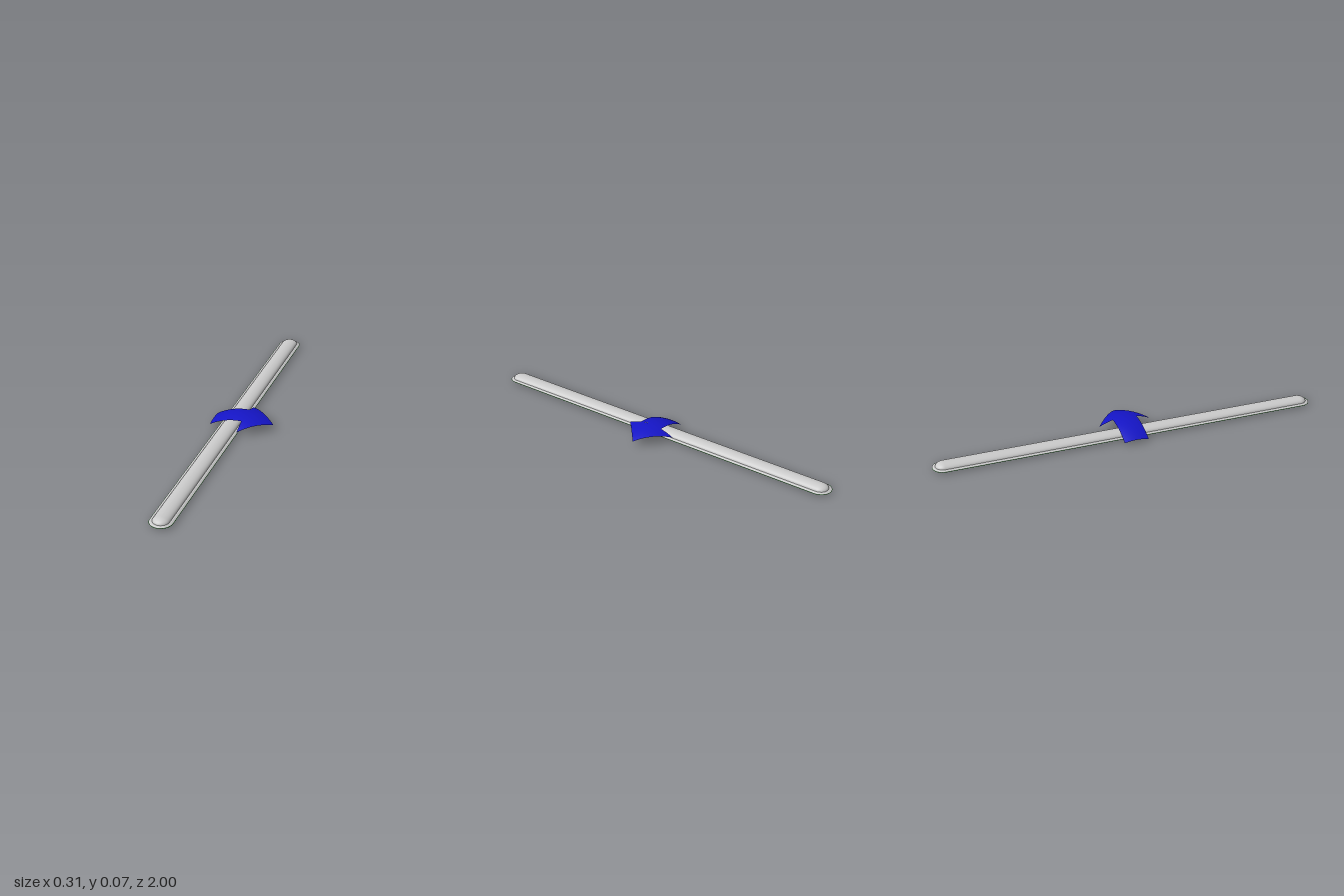
import * as THREE from 'three';

const BAR_X = -0.054;
const STRAIGHT = 0.944; // half length of the straight run

// Stadium-shaped solid: each profile point is [radius, y], listed bottom to top.
function stadiumLoft(profile, smooth) {
  const arc = 16, n = 2 * (arc + 1);
  const pos = [], idx = [];
  const addRing = ([r, y]) => {
    for (let i = 0; i < n; i++) {
      const end = i <= arc ? 1 : -1;
      const a = Math.PI * (i <= arc ? i : i - 1) / arc;
      pos.push(r * Math.cos(a), y, r * Math.sin(a) + end * STRAIGHT);
    }
    return pos.length / 3 - n;
  };
  const join = (a, b) => {
    for (let i = 0; i < n; i++) {
      const j = (i + 1) % n;
      idx.push(a + i, b + i, a + j, b + i, b + j, a + j);
    }
  };
  let last = null;
  profile.forEach((p, k) => {
    if (k === 0) { last = addRing(p); return; }
    // separate rings per band keep the steps crisp; the dome shares its rings
    if (!smooth) last = addRing(profile[k - 1]);
    const next = addRing(p);
    join(last, next);
    last = next;
  });
  const geo = new THREE.BufferGeometry();
  geo.setAttribute('position', new THREE.Float32BufferAttribute(pos, 3));
  geo.setIndex(idx);
  geo.computeVertexNormals();
  return geo;
}

// Height of the arched arrow sheet, curved both ways
const archY = (x, z) => 0.067 - (x < 0 ? 1.9 : 1.42) * x * x - 1.75 * z * z;

// Arched panel between x0 and x1 whose half width runs from w0 to w1
function archedPanel(x0, x1, w0, w1) {
  const geo = new THREE.PlaneGeometry(1, 1, 16, 16);
  const p = geo.attributes.position;
  for (let i = 0; i < p.count; i++) {
    const t = p.getX(i) + 0.5;
    const x = x0 + (x1 - x0) * t;
    const z = -2 * p.getY(i) * (w0 + (w1 - w0) * t);
    p.setXYZ(i, x, archY(x, z), z);
  }
  geo.computeVertexNormals();
  return geo;
}

export function createModel() {
  const group = new THREE.Group();
  const grey = new THREE.MeshStandardMaterial({ color: 0xcccccc, side: THREE.DoubleSide });
  const green = new THREE.MeshStandardMaterial({ color: 0x22aa22, side: THREE.DoubleSide });
  const blue = new THREE.MeshStandardMaterial({ color: 0x1515c8, side: THREE.DoubleSide });
  const add = (name, geo, mat, x = 0) => {
    const mesh = new THREE.Mesh(geo, mat);
    mesh.name = name;
    mesh.position.x = x;
    group.add(mesh);
  };

  // Base of the bar, with a softly shaded underside
  add('barBase', stadiumLoft([[0, 0], [0.02, 0], [0.038, 0], [0.042, 0.003], [0.043, 0.008]], true), grey, BAR_X);

  // Thin green seal around the bar
  add('sealPlate', stadiumLoft([[0, 0.008], [0.053, 0.008], [0.056, 0.0095], [0.056, 0.011], [0, 0.012]], false), green, BAR_X);

  // Sloping rim above the seal
  add('rim', stadiumLoft([[0.055, 0.0115], [0.047, 0.0155], [0.04, 0.0155]], false), grey, BAR_X);

  // Rounded top of the bar
  const dome = [];
  for (let i = 0; i <= 10; i++) {
    const a = (Math.PI / 2) * i / 10;
    dome.push([0.041 * Math.cos(a), 0.015 + 0.022 * Math.sin(a)]);
  }
  add('dome', stadiumLoft(dome, true), grey, BAR_X);

  // Arched arrow spanning the bar
  add('arrowShaft', archedPanel(-0.157, 0.01, 0.063, 0.063), blue);
  add('arrowHead', archedPanel(0.01, 0.157, 0.135, 0.001), blue);
  return group;
}
